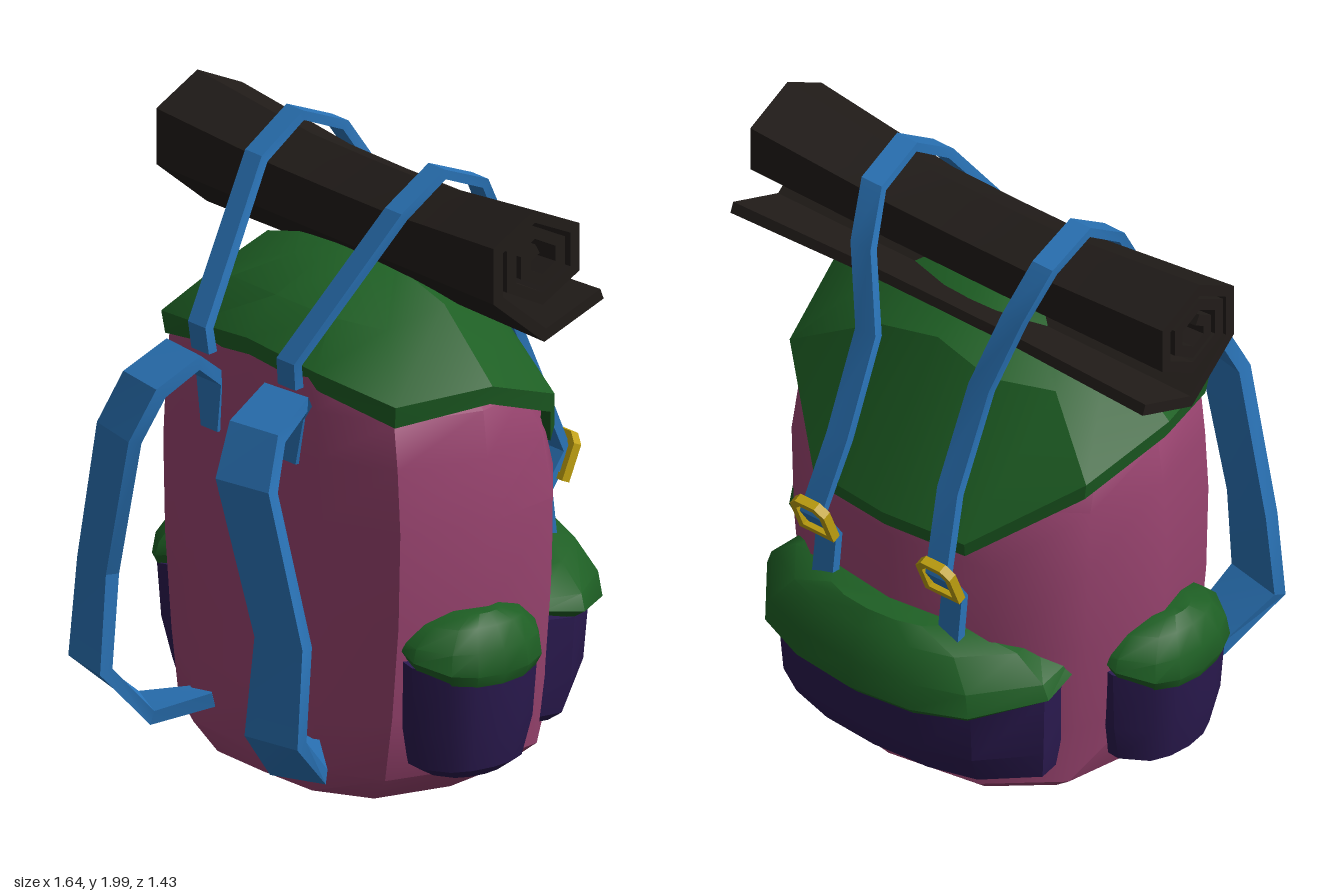
import * as THREE from 'three';
import { toCreasedNormals } from 'three/addons/utils/BufferGeometryUtils.js';

const V = (x, y, z) => new THREE.Vector3(x, y, z);
const mat = (color) => new THREE.MeshStandardMaterial({ color, side: THREE.DoubleSide });
const PINK = mat(0x9a4470), GREEN = mat(0x1e5f24), PURPLE = mat(0x2b1a50);
const BLUE = mat(0x2a74b8), BLACK = mat(0x211c19), YELLOW = mat(0xbfa010);

function mesh(name, geometry, material, crease = 0.5) {
  const m = new THREE.Mesh(toCreasedNormals(geometry, crease), material);
  m.name = name;
  return m;
}

// Skin a list of equal-length closed rings, with optional fans over the ends
function loft(rings, capStart = true, capEnd = true) {
  const pos = [];
  const tri = (...pts) => pts.forEach((p) => pos.push(p.x, p.y, p.z));
  const n = rings[0].length;
  for (let r = 0; r < rings.length - 1; r++) {
    for (let i = 0; i < n; i++) {
      const j = (i + 1) % n;
      const [a, b, c, d] = [rings[r][i], rings[r][j], rings[r + 1][j], rings[r + 1][i]];
      tri(a, b, c);
      tri(a, c, d);
    }
  }
  const fan = (ring, flip) => {
    const mid = V(0, 0, 0);
    ring.forEach((p) => mid.addScaledVector(p, 1 / n));
    ring.forEach((p, i) => {
      const q = ring[(i + 1) % n];
      flip ? tri(q, p, mid) : tri(p, q, mid);
    });
  };
  if (capStart) fan(rings[0], true);
  if (capEnd) fan(rings[rings.length - 1], false);
  const g = new THREE.BufferGeometry();
  g.setAttribute('position', new THREE.Float32BufferAttribute(pos, 3));
  g.computeVertexNormals();
  return g;
}

// Mirror the +x half of a ring (front to back); points on the axis are not doubled
function mirrorRing(half) {
  const other = half.filter((p) => p.x > 1e-6).map((p) => V(-p.x, p.y, p.z)).reverse();
  return [...half, ...other];
}

// Flat strap swept along points [x, y, z, width, sideways z of the width direction]
function strap(points, thick) {
  const p = points.map((a) => V(a[0], a[1], a[2]));
  const rings = p.map((c, i) => {
    const t = V(0, 0, 0);
    if (i > 0) t.add(c.clone().sub(p[i - 1]).normalize());
    if (i < p.length - 1) t.add(p[i + 1].clone().sub(c).normalize());
    t.normalize();
    const w = V(1, 0, points[i][4] || 0).normalize();
    const n = t.clone().cross(w).normalize().multiplyScalar(thick / 2);
    w.multiplyScalar(points[i][3] / 2);
    return [[-1, -1], [1, -1], [1, 1], [-1, 1]].map(([a, b]) =>
      c.clone().addScaledVector(w, a).addScaledVector(n, b));
  });
  return loft(rings);
}

// Main sack: [y, half width, front z, back z]
function body() {
  const plan = [[0, 1], [0.5, 0.98], [0.88, 0.7], [1, 0], [0.9, -0.55], [0.55, -0.9], [0, -1]];
  const levels = [
    [0.01, 0.25, 0.2, 0.2], [0.05, 0.46, 0.36, 0.42], [0.14, 0.57, 0.41, 0.53],
    [0.35, 0.61, 0.41, 0.53], [0.65, 0.645, 0.41, 0.53], [0.95, 0.655, 0.41, 0.53],
    [1.15, 0.64, 0.41, 0.48], [1.3, 0.62, 0.41, 0.38], [1.42, 0.5, 0.4, 0.3],
  ];
  return mesh('sack', loft(levels.map(([y, w, f, b]) =>
    mirrorRing(plan.map(([x, z]) => V(x * w, y, z * (z > 0 ? f : b)))))), PINK, 0.7);
}

// Top flap: rim points [x, z, bottom y, top y] and shoulder points [x, y, z]
function flap() {
  const rim = [[0, 0.42, 1.4, 1.455], [0.3, 0.395, 1.36, 1.42], [0.57, 0.3, 1.29, 1.36], [0.665, 0, 1.33, 1.39],
    [0.59, -0.3, 1.22, 1.28], [0.3, -0.53, 1.0, 1.05], [0, -0.56, 1.0, 1.05]];
  const shoulder = [[0, 1.57, 0.31], [0.24, 1.56, 0.29], [0.4, 1.54, 0.2], [0.43, 1.59, 0],
    [0.4, 1.5, -0.22], [0.22, 1.52, -0.32], [0, 1.56, -0.3]];
  const rings = [
    rim.map(([x, z, y]) => V(x * 0.93, y + 0.01, z * 0.93)),
    rim.map(([x, z, y]) => V(x * 0.98, y, z * 0.98)),
    rim.map(([x, z, , y]) => V(x, y, z)),
    shoulder.map((a) => V(...a)),
    shoulder.map(([x, y, z]) => V(x * 0.45, 1.645 + (y - 1.57) * 0.3, z * 0.45)),
    shoulder.map(([x, , z]) => V(x * 0.05, 1.678, z * 0.05)),
  ].map(mirrorRing);
  return mesh('topFlap', loft(rings, false), GREEN, 0.5);
}

// Pouch with its own flap, facing local +z; levels are [y, half width, inner z, outer z, rim droop]
function pocket(name, pouchLevels, flapLevels) {
  const plan = [[0, 1], [0.4, 0.95], [0.72, 0.8], [1, 0.35], [0.97, 0]];
  const ring = ([y, w, z0, z1, droop = 0]) =>
    mirrorRing(plan.map(([x, f]) => V(x * w, y - droop * f, z0 + f * (z1 - z0))));
  const g = new THREE.Group();
  g.name = name;
  g.add(mesh('pouch', loft(pouchLevels.map(ring)), PURPLE, 0.6));
  g.add(mesh('pouchFlap', loft(flapLevels.map(ring)), GREEN, 0.6));
  return g;
}

// Rolled mat: a thick hexagonal spiral [z, y] extruded across, pinched in the middle
function bedroll() {
  const path = [[-0.3, 1.665], [-0.08, 1.58], [0.102, 1.73], [0.102, 1.89], [-0.04, 1.97], [-0.195, 1.9],
    [-0.195, 1.77], [-0.07, 1.7], [0.05, 1.76], [0.05, 1.87], [-0.04, 1.918], [-0.138, 1.87],
    [-0.138, 1.8], [-0.07, 1.757], [-0.005, 1.79], [-0.005, 1.84], [-0.05, 1.865]]
    .map((a) => new THREE.Vector2(...a));
  const side = (s) => path.map((p, i) => {
    const a = p.clone().sub(path[Math.max(i - 1, 0)]).normalize();
    const b = path[Math.min(i + 1, path.length - 1)].clone().sub(p).normalize();
    const t = a.clone().add(b).normalize();
    const miter = Math.max(t.dot(a), t.dot(b));
    return new THREE.Vector2(p.x - t.y * s / miter, p.y + t.x * s / miter);
  });
  const shape = new THREE.Shape([...side(0.018), ...side(-0.018).reverse()]);
  const g = new THREE.ExtrudeGeometry(shape, { depth: 1.64, steps: 6, bevelEnabled: false });
  g.translate(0, 0, -0.82).rotateY(-Math.PI / 2);
  const p = g.attributes.position;
  for (let i = 0; i < p.count; i++) {
    const k = 0.85 + 0.15 * Math.max(0, (Math.abs(p.getX(i)) - 0.25) / 0.57);
    p.setY(i, 1.6 + (p.getY(i) - 1.6) * k);
    p.setZ(i, -0.09 + (p.getZ(i) + 0.09) * k);
  }
  return mesh('bedroll', g, BLACK, 0.3);
}

// Buckle: arched frame with an opening
function buckle() {
  const frame = (w, h, c) => [[-w, -h], [w, -h], [w, h - c], [w - c, h], [c - w, h], [-w, h - c]]
    .map((a) => new THREE.Vector2(...a));
  const shape = new THREE.Shape(frame(0.068, 0.075, 0.03));
  shape.holes.push(new THREE.Path(frame(0.046, 0.053, 0.02).reverse()));
  const g = new THREE.ExtrudeGeometry(shape, { depth: 0.03, bevelEnabled: false });
  return mesh('buckle', g.translate(0, 0, -0.015), YELLOW);
}

export function createModel() {
  const model = new THREE.Group();
  model.name = 'backpack';
  model.add(body(), flap(), bedroll());

  // Back pocket
  const back = pocket('backPocket',
    [[0.18, 0.46, 0.29, 0.54], [0.21, 0.5, 0.29, 0.6], [0.31, 0.52, 0.29, 0.655], [0.53, 0.53, 0.29, 0.675, 0.03]],
    [[0.55, 0.52, 0.29, 0.68, 0.1], [0.57, 0.56, 0.29, 0.72, 0.08], [0.6, 0.54, 0.3, 0.71, 0.02],
      [0.66, 0.44, 0.33, 0.665, -0.02], [0.705, 0.25, 0.42, 0.63, -0.025]]);
  back.rotation.y = Math.PI;
  model.add(back);

  for (const s of [-1, 1]) {
    const label = s > 0 ? 'left' : 'right';
    const flip = (pts) => pts.map(([x, y, z, w, wz = 0]) => [x * s, y, z, w, -wz * s]);

    // Side pocket
    const pouch = pocket(label + 'SidePocket',
      [[0.155, 0.13, 0.54, 0.67], [0.19, 0.19, 0.53, 0.715], [0.32, 0.222, 0.53, 0.745], [0.54, 0.235, 0.53, 0.76, 0.03]],
      [[0.55, 0.225, 0.55, 0.755, 0.085], [0.575, 0.243, 0.55, 0.773, 0.07], [0.6, 0.23, 0.55, 0.765, 0.02],
        [0.65, 0.17, 0.57, 0.73, 0], [0.68, 0.08, 0.61, 0.69, 0]]);
    pouch.rotation.y = s * Math.PI / 2;
    pouch.position.z = 0.035;
    model.add(pouch);

    // Strap over the bedroll, down to the back pocket
    model.add(mesh(label + 'RollStrap', strap(flip([
      [0.21, 1.36, 0.42, 0.085], [0.215, 1.44, 0.43, 0.085], [0.34, 1.88, 0.115, 0.08], [0.345, 1.985, -0.04, 0.08],
      [0.34, 1.92, -0.2, 0.08], [0.3, 1.76, -0.295, 0.08], [0.225, 1.51, -0.36, 0.08], [0.22, 1.2, -0.5, 0.08],
      [0.25, 0.95, -0.59, 0.08], [0.25, 0.84, -0.515, 0.08], [0.25, 0.67, -0.535, 0.08],
    ]), 0.032), BLUE, 0.3));

    // Shoulder strap
    model.add(mesh(label + 'ShoulderStrap', strap(flip([
      [0.19, 1.11, 0.395, 0.08], [0.2, 1.27, 0.39, 0.12], [0.25, 1.345, 0.47, 0.19, 0.1], [0.275, 1.27, 0.6, 0.2, 0.15],
      [0.31, 1.12, 0.67, 0.21, 0.2], [0.45, 0.65, 0.64, 0.19, 0.2], [0.45, 0.345, 0.67, 0.21, 0.2],
      [0.375, 0.185, 0.52, 0.19, 0.45], [0.215, 0.24, 0.38, 0.09, 0.8],
    ]), 0.045), BLUE, 0.3));

    const b = buckle();
    b.name = label + 'Buckle';
    b.position.set(0.25 * s, 0.935, -0.588);
    b.rotation.x = -0.4;
    model.add(b);
  }
  return model;
}
